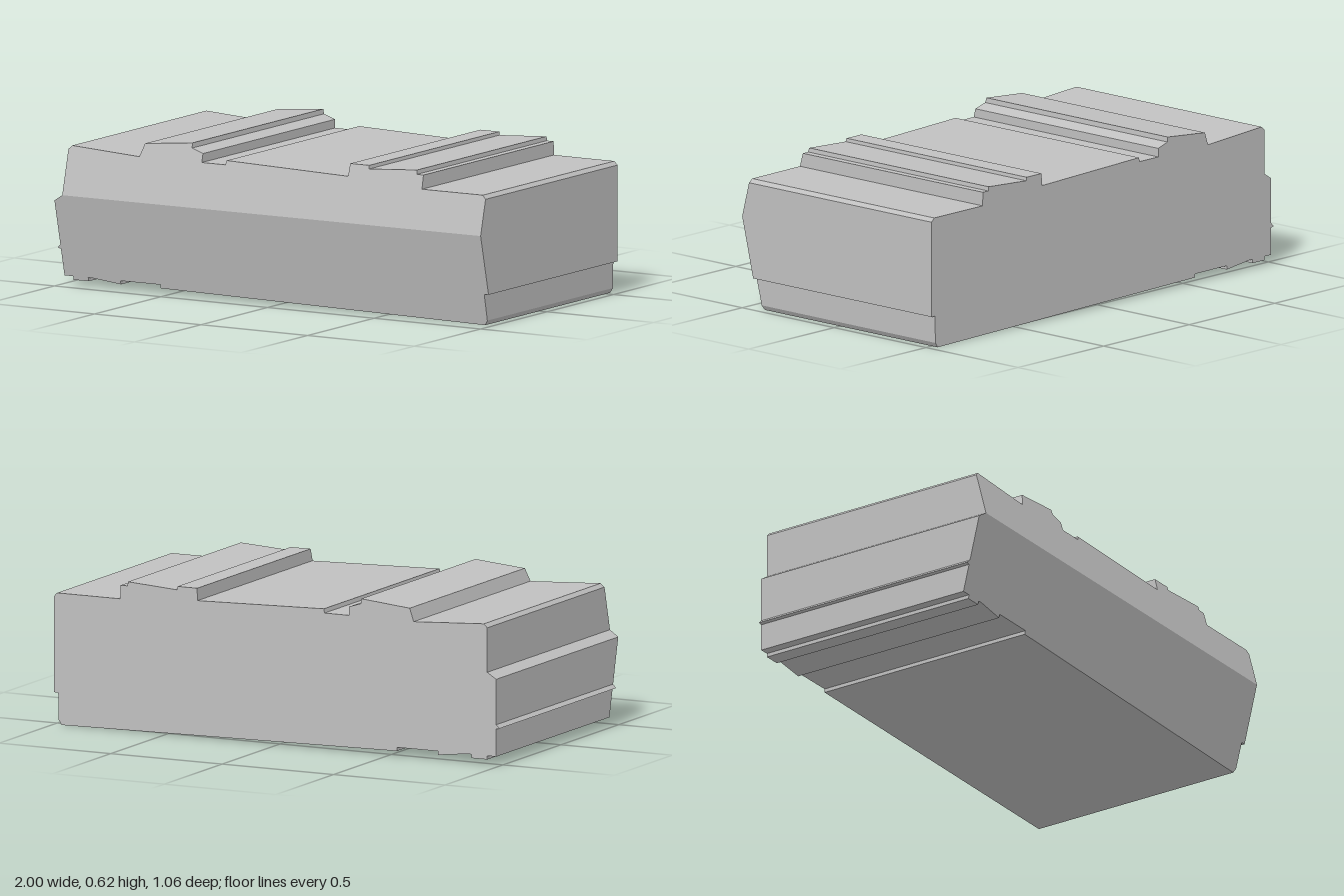
import * as THREE from 'three';

const RIDGE = 0.375; // height of the crease across the front
const BACK = -0.53;

// Depth of the front: two sloping planes meeting at the crease
const frontZ = (x, y) =>
  0.515 - 0.015 * x - (y > RIDGE ? 0.26 * (y - RIDGE) : 0.243 * (RIDGE - y));

// Stepped profile, clockwise seen from the front, starting and ending on the crease
const UPPER = [
  [-0.945, RIDGE], [-0.945, 0.555], [-0.93, 0.57], [-0.615, 0.552],
  [-0.597, 0.605], [-0.38, 0.625], [-0.378, 0.605], [-0.325, 0.588],
  [-0.325, 0.553], [-0.215, 0.553], [-0.212, 0.57], [0.355, 0.555],
  [0.357, 0.605], [0.445, 0.605], [0.447, 0.591], [0.667, 0.605],
  [0.669, 0.588], [0.7, 0.588], [0.702, 0.533], [0.985, 0.533],
  [1, 0.518], [1, RIDGE],
];
const LOWER = [
  [1, RIDGE], [1, 0.13], [0.98, 0.13], [0.978, 0.02], [0.965, 0],
  [-0.54, 0.022], [-0.54, 0.037], [-0.725, 0.037], [-0.725, 0.022],
  [-0.855, 0.037], [-0.875, 0.037], [-0.875, 0.022], [-0.945, 0.022],
  [-0.945, 0.037], [-0.985, 0.037], [-0.985, 0.148], [-1, 0.152],
  [-0.985, 0.166], [-0.985, 0.35], [-0.945, RIDGE],
];

// Flat cap cut from a profile, with its depth set by a rule
function cap(points, depth) {
  const shape = new THREE.Shape(points.map(([x, y]) => new THREE.Vector2(x, y)));
  const geo = new THREE.ShapeGeometry(shape);
  const p = geo.attributes.position;
  for (let i = 0; i < p.count; i++) p.setZ(i, depth(p.getX(i), p.getY(i)));
  const flat = geo.toNonIndexed();
  flat.computeVertexNormals();
  return flat;
}

// Walls running from the sloping front to the flat back
function walls(points) {
  const v = [];
  for (let i = 0; i < points.length - 1; i++) {
    const [ax, ay] = points[i];
    const [bx, by] = points[i + 1];
    const a = [ax, ay, frontZ(ax, ay)], b = [bx, by, frontZ(bx, by)];
    const c = [bx, by, BACK], d = [ax, ay, BACK];
    v.push(...a, ...b, ...c, ...a, ...c, ...d);
  }
  const geo = new THREE.BufferGeometry();
  geo.setAttribute('position', new THREE.Float32BufferAttribute(v, 3));
  geo.computeVertexNormals();
  return geo;
}

export function createModel() {
  const group = new THREE.Group();
  group.name = 'steppedBlock';
  const grey = new THREE.MeshStandardMaterial({ color: 0xc0c0c0 });
  grey.name = 'light grey';

  const add = (name, geo) => {
    const mesh = new THREE.Mesh(geo, grey);
    mesh.name = name;
    group.add(mesh);
    return mesh;
  };

  // Sloping front faces
  add('upperFront', cap(UPPER, frontZ));
  add('lowerFront', cap(LOWER, frontZ));

  // Ribbed top, ends and underside
  add('topAndUpperEnds', walls(UPPER));
  add('undersideAndLowerEnds', walls(LOWER));

  // Flat back, drawn mirrored and turned round to face backwards
  const outline = [...UPPER, ...LOWER.slice(1, -1)].map(([x, y]) => [-x, y]);
  const back = add('back', cap(outline, () => -BACK));
  back.rotation.y = Math.PI;

  return group;
}
